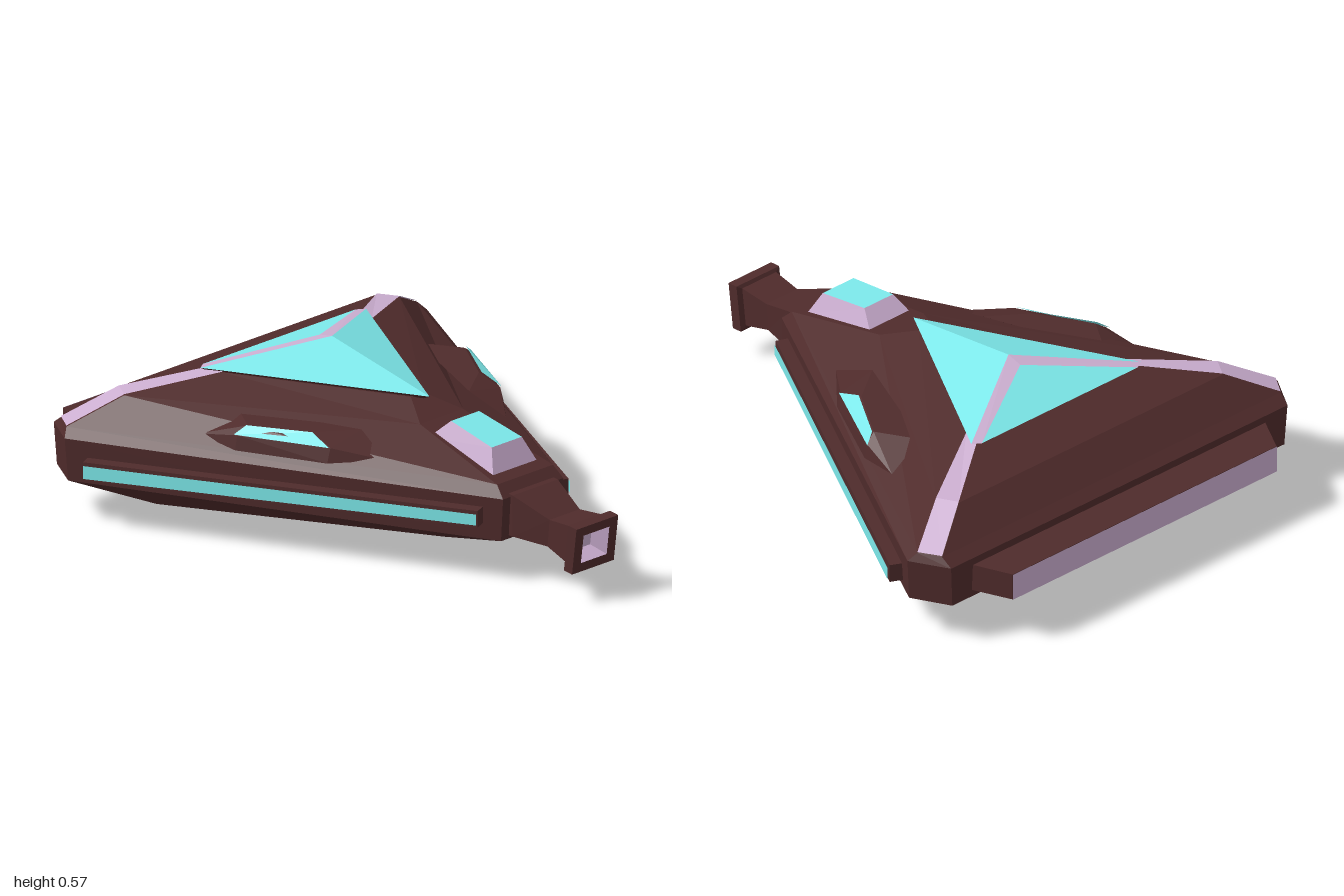
import * as THREE from 'three';
import { ConvexGeometry } from 'three/addons/geometries/ConvexGeometry.js';

const paint = (color) => new THREE.MeshStandardMaterial({ color, flatShading: true, side: THREE.DoubleSide });
const BROWN = paint(0x4f2b2b), TEAL = paint(0x7ce8ea), PINK = paint(0xcbaed0);

// Flat-shaded geometry from a list of triangles, turned outward if it is inside out
function fromTriangles(tris, orient) {
  let volume = 0;
  const mid = new THREE.Vector3();
  tris.flat().forEach((p) => mid.add(new THREE.Vector3(...p)));
  mid.divideScalar(tris.length * 3);
  for (const t of tris) {
    const [a, b, c] = t.map((p) => new THREE.Vector3(...p).sub(mid));
    volume += a.dot(b.cross(c));
  }
  if (orient && volume < 0) tris = tris.map(([a, b, c]) => [a, c, b]);
  const g = new THREE.BufferGeometry();
  g.setAttribute('position', new THREE.Float32BufferAttribute(tris.flat(2), 3));
  g.computeVertexNormals();
  return g;
}

// Skin over a series of rings with equal point counts
function loft(rings, capStart, capEnd) {
  const tris = [], n = rings[0].length;
  for (let i = 0; i + 1 < rings.length; i++) {
    for (let j = 0; j < n; j++) {
      const k = (j + 1) % n;
      const [a, b, c, d] = [rings[i][j], rings[i][k], rings[i + 1][k], rings[i + 1][j]];
      tris.push([a, b, c], [a, c, d]);
    }
  }
  const first = rings[0], last = rings[rings.length - 1];
  for (let j = 1; j + 1 < n; j++) {
    if (capStart) tris.push([first[0], first[j + 1], first[j]]);
    if (capEnd) tris.push([last[0], last[j], last[j + 1]]);
  }
  return fromTriangles(tris, true);
}

// Thin polygon; list corners counter-clockwise seen from outside
const panel = (pts) => fromTriangles(pts.slice(2).map((p, i) => [pts[0], pts[i + 1], p]));
const solid = (pts) => new ConvexGeometry(pts.map((p) => new THREE.Vector3(...p)));
const flip = ([x, y, z]) => [x, y, -z];

export function createModel() {
  const model = new THREE.Group();
  const add = (name, geometry, material) => {
    const mesh = new THREE.Mesh(geometry, material);
    mesh.name = name;
    model.add(mesh);
  };
  const sides = [['left', -1], ['right', 1]];
  // Corner points for one side: z is negated and the order reversed on the mirrored side
  const side = (s, pts) => (s > 0 ? pts : pts.map(flip).reverse());

  // Hull tiers: nose, front corner and back corner of one half
  const tiers = [
    [[0.24, 0, 0], [-0.64, 0, 0.505], [-0.64, 0, 0.505]],
    [[0.67, 0.15, 0.14], [-0.73, 0.15, 0.83], [-0.865, 0.15, 0.755]],
    [[0.68, 0.305, 0.14], [-0.735, 0.305, 0.842], [-0.87, 0.305, 0.765]],
    [[0.64, 0.345, 0.13], [-0.755, 0.335, 0.815], [-0.83, 0.335, 0.77]],
    [[0.23, 0.435, 0.1], [-0.655, 0.43, 0.64], [-0.725, 0.43, 0.6]],
    [[0.11, 0.48, 0.03], [-0.48, 0.482, 0.345], [-0.55, 0.482, 0.36]],
  ];
  add('hull', loft(tiers.map((t) => [...t, ...t.map(flip).reverse()]), false, true), BROWN);
  add('bellyPanel', panel([tiers[0][0], tiers[0][1], flip(tiers[0][1])]), TEAL);

  // Crystal on the roof
  const tip = [0.17, 0.49, 0], apex = [-0.31, 0.57, 0], backApex = [-0.37, 0.557, 0];
  const frontCorner = [-0.55, 0.49, 0.385], backCorner = [-0.57, 0.49, 0.355];
  const rim = [tip, frontCorner, backCorner, flip(backCorner), flip(frontCorner)];
  add('crystalBase', loft([rim.map(([x, y, z]) => [-0.3 + (x + 0.3) * 0.94, 0.476, z * 0.94]), rim], true, true), BROWN);
  add('crystalBackFace', panel([backCorner, backApex, flip(backCorner)]), TEAL);

  for (const [label, s] of sides) {
    add(label + 'CrystalFace', panel(side(s, [tip, apex, frontCorner])), TEAL);
    add(label + 'CrystalTrim', panel(side(s, [frontCorner, apex, backApex, backCorner])), PINK);

    // Ridge trim climbing from the back corner to the crystal
    const up = ([x, y, z]) => [x, y + 0.004, z];
    for (let i = 3; i < 5; i++) {
      const [, a, b] = tiers[i], [, c, d] = tiers[i + 1];
      add(label + 'RidgeTrim' + (i - 2), panel(side(s, [a, c, d, b].map(up))), PINK);
    }

    // Side rail with a glowing strip
    const put = (pts) => side(s, pts);
    add(label + 'Rail', solid(put([
      [0.63, 0.268, 0.212], [0.63, 0.208, 0.212], [0.605, 0.268, 0.15], [0.605, 0.208, 0.15],
      [-0.645, 0.245, 0.842], [-0.645, 0.178, 0.842], [-0.675, 0.245, 0.78], [-0.675, 0.178, 0.78],
    ])), BROWN);
    add(label + 'RailStrip', panel(put([
      [-0.64, 0.187, 0.847], [0.63, 0.217, 0.218], [0.63, 0.257, 0.218], [-0.64, 0.234, 0.847],
    ])), TEAL);

    // Roof window in a low dormer
    add(label + 'Dormer', solid(put([
      [-0.2, 0.392, 0.545], [0.1, 0.392, 0.395], [-0.19, 0.42, 0.505], [0, 0.42, 0.39],
      [-0.36, 0.36, 0.575], [0.25, 0.36, 0.28], [-0.33, 0.42, 0.42], [0.1, 0.42, 0.25],
      [-0.2, 0.34, 0.555], [0.1, 0.34, 0.41],
    ])), BROWN);
    add(label + 'Window', panel(put([
      [-0.21, 0.394, 0.552], [0.1, 0.394, 0.402], [0.01, 0.423, 0.393], [-0.19, 0.423, 0.512],
    ])), TEAL);
  }

  // Cabin on the nose
  const cabinBase = [[0.27, 0.4, 0.1], [0.595, 0.345, 0.105], [0.595, 0.345, -0.105], [0.27, 0.4, -0.1]];
  const cabinTop = [[0.345, 0.472, 0.065], [0.55, 0.437, 0.07], [0.55, 0.437, -0.07], [0.345, 0.472, -0.065]];
  add('cabin', loft([cabinBase, cabinTop], false, false), PINK);
  add('cabinRoof', panel(cabinTop), TEAL);

  // Snout: square sections leaning slightly, ending in an open muzzle
  const section = (x, y, h, w, lean = 0) =>
    [[-1, -1], [-1, 1], [1, 1], [1, -1]].map(([v, u]) => [x + lean * v * h, y + v * h, u * w]);
  add('snout', loft([
    section(0.64, 0.24, 0.078, 0.105), section(0.69, 0.238, 0.075, 0.105),
    section(0.83, 0.207, 0.05, 0.07, 0.1), section(0.94, 0.198, 0.07, 0.077, 0.13),
    section(0.945, 0.195, 0.085, 0.097, 0.13), section(0.985, 0.191, 0.085, 0.097, 0.13),
    section(0.985, 0.191, 0.052, 0.06, 0.13),
  ], false, false), BROWN);
  add('muzzleRecess', loft([
    section(0.985, 0.191, 0.052, 0.06, 0.13), section(0.93, 0.195, 0.028, 0.032, 0.13),
  ], false, true), PINK);

  // Rear slab with a pale back face
  const slab = (x, z, y0, y1) => [[x, y0, -z], [x, y0, z], [x, y1, z], [x, y1, -z]];
  add('rearSlab', loft([slab(-0.998, 0.6, 0.172, 0.272), slab(-0.8, 0.7, 0.178, 0.28)], true, true), BROWN);
  add('rearPanel', panel(slab(-1, 0.6, 0.172, 0.272)), PINK);

  return model;
}
